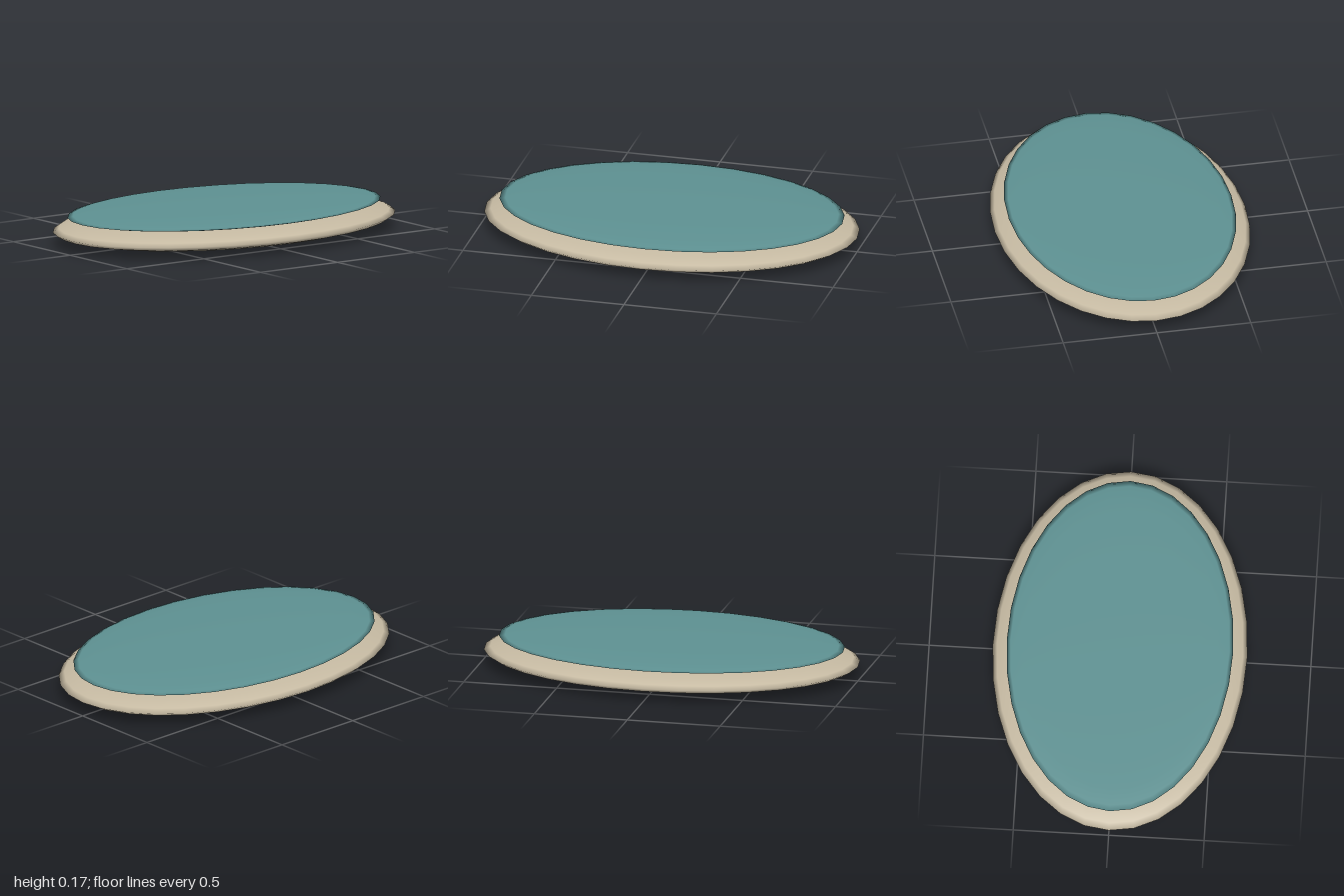
import * as THREE from 'three';

// Flattened sphere with smooth normals
function disc(name, color, y, rx, ry, rz) {
  const geometry = new THREE.SphereGeometry(1, 32, 12);
  geometry.scale(rx, ry, rz);
  const mesh = new THREE.Mesh(geometry, new THREE.MeshStandardMaterial({ color }));
  mesh.name = name;
  mesh.position.y = y;
  return mesh;
}

export function createModel() {
  const group = new THREE.Group();
  group.name = 'ovalPool';
  // Stone-coloured oval body
  group.add(disc('rim', 0xc8bca4, 0.075, 1, 0.075, 0.667));
  // Thin teal lens floating over the body
  group.add(disc('surface', 0x5f9394, 0.15, 0.92, 0.022, 0.593));
  return group;
}
